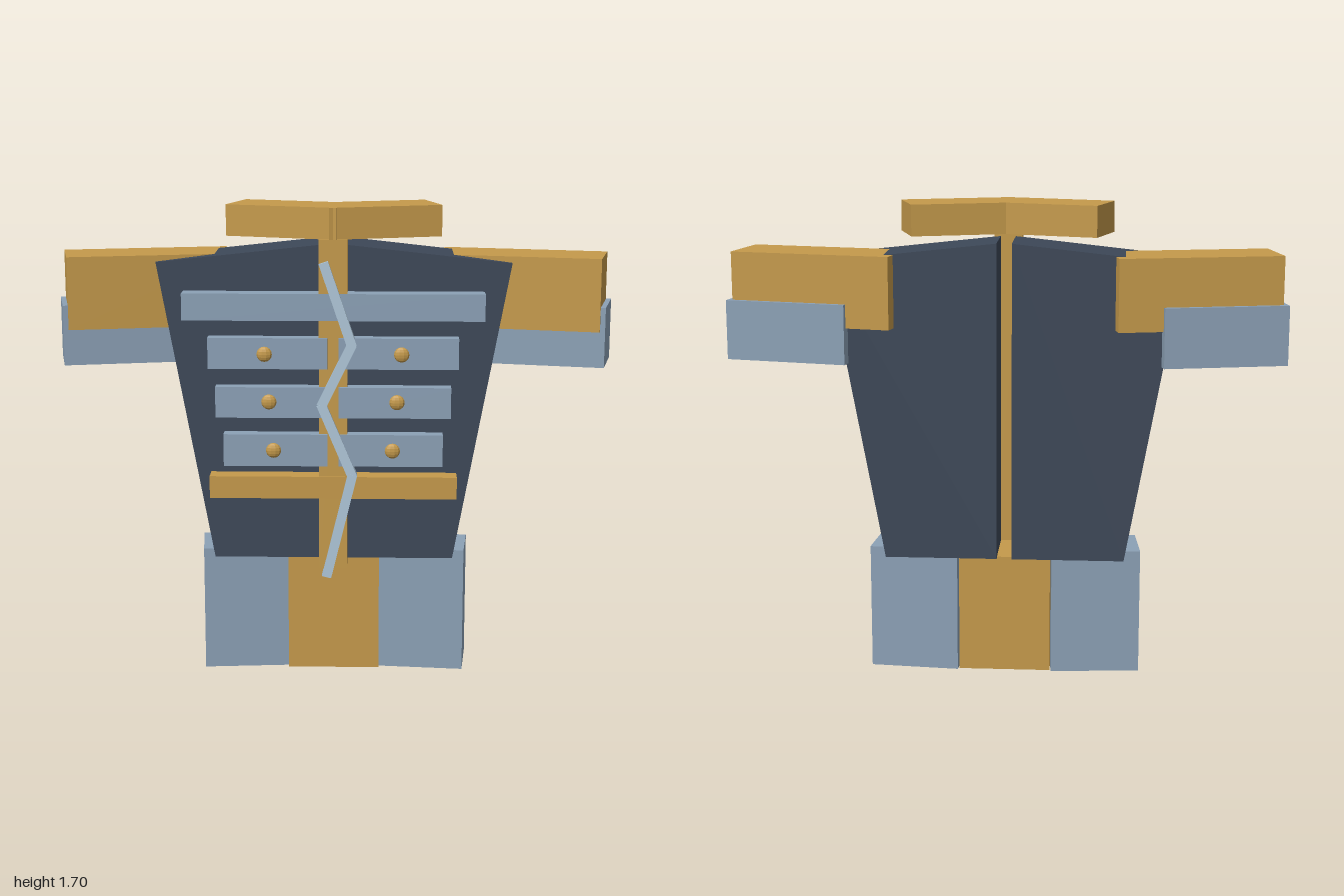
import * as THREE from 'three';

const mat = (color) => new THREE.MeshStandardMaterial({ color, flatShading: true });

export function createModel() {
  const model = new THREE.Group();
  const gold = mat(0xc59a4b), blue = mat(0x8ca1b6), dark = mat(0x3d4858), pale = mat(0xb0c8da);

  const add = (name, geometry, material) => {
    const mesh = new THREE.Mesh(geometry, material);
    mesh.name = name;
    model.add(mesh);
    return mesh;
  };
  // Box given by its x, y and z ranges
  const span = (name, material, [x0, x1], [y0, y1], [z0, z1]) => {
    const m = add(name, new THREE.BoxGeometry(x1 - x0, y1 - y0, z1 - z0), material);
    m.position.set((x0 + x1) / 2, (y0 + y1) / 2, (z0 + z1) / 2);
  };
  // Box turned about the vertical axis, mirrored to the given side
  const turned = (name, material, side, w, [y0, y1], d, x, z, angle) => {
    const m = add(name, new THREE.BoxGeometry(w, y1 - y0, d), material);
    m.position.set(side * x, (y0 + y1) / 2, z);
    m.rotation.y = side * angle;
  };

  const rows = [
    { y: [1.135, 1.245], outer: 0.44, button: [0.24, 1.19] },
    { y: [0.96, 1.07], outer: 0.415, button: [0.225, 1.02] },
    { y: [0.785, 0.9], outer: 0.388, button: [0.21, 0.845] },
  ];

  for (const side of [1, -1]) {
    const label = side > 0 ? 'left' : 'right';

    // Tapered chest panel
    const outline = [[0.027, 0.425], [0.43, 0.425], [0.625, 1.5], [0.027, 1.565]];
    const shape = new THREE.Shape(outline.map(([x, y]) => new THREE.Vector2(side * x, y)));
    const panel = new THREE.ExtrudeGeometry(shape, { depth: 0.235, bevelEnabled: false });
    add(label + 'ChestPanel', panel, dark).position.z = -0.142;

    // Collar, sleeve, cuff and skirt
    turned(label + 'Collar', gold, side, 0.409, [1.588, 1.698], 0.2, 0.155, 0.008, 0.293);
    turned(label + 'Sleeve', gold, side, 0.587, [1.265, 1.522], 0.22, 0.665, -0.028, -0.206);
    turned(label + 'Cuff', blue, side, 0.445, [1.137, 1.35], 0.224, 0.755, -0.025, -0.206);
    turned(label + 'Skirt', blue, side, 0.32, [0, 0.455], 0.207, 0.321, -0.0225, -0.088);

    // Chest bars with buttons
    rows.forEach(({ y, outer, button }, i) => {
      const xs = side > 0 ? [0.02, outer] : [-outer, -0.02];
      span(`${label}Bar${i + 1}`, blue, xs, y, [0.12, 0.17]);
      const b = add(`${label}Button${i + 1}`, new THREE.SphereGeometry(0.027, 10, 8), gold);
      b.position.set(side * button[0], button[1], 0.181);
      b.scale.z = 0.5;
    });
  }

  // Centre pieces
  span('skirtCentre', gold, [-0.165, 0.165], [0, 0.43], [-0.13, 0.085]);
  span('frontStrip', gold, [-0.05, 0.05], [0.403, 1.588], [0.09, 0.16]);
  span('topBar', blue, [-0.53, 0.53], [1.305, 1.4], [0.09, 0.163]);
  span('belt', gold, [-0.44, 0.44], [0.665, 0.745], [0.09, 0.165]);

  // Zigzag fastening made of straight segments
  const zigzag = [[-0.032, 1.505], [0.065, 1.22], [-0.04, 1.005], [0.068, 0.75], [-0.022, 0.38]];
  for (let i = 0; i < zigzag.length - 1; i++) {
    const [ax, ay] = zigzag[i], [bx, by] = zigzag[i + 1];
    const length = Math.hypot(bx - ax, by - ay) + 0.01;
    const m = add('zigzag' + (i + 1), new THREE.BoxGeometry(0.034, length, 0.035), pale);
    m.position.set((ax + bx) / 2, (ay + by) / 2, 0.1565 + i * 0.0004);
    m.rotation.z = Math.atan2(ax - bx, ay - by) * -1;
  }

  return model;
}
